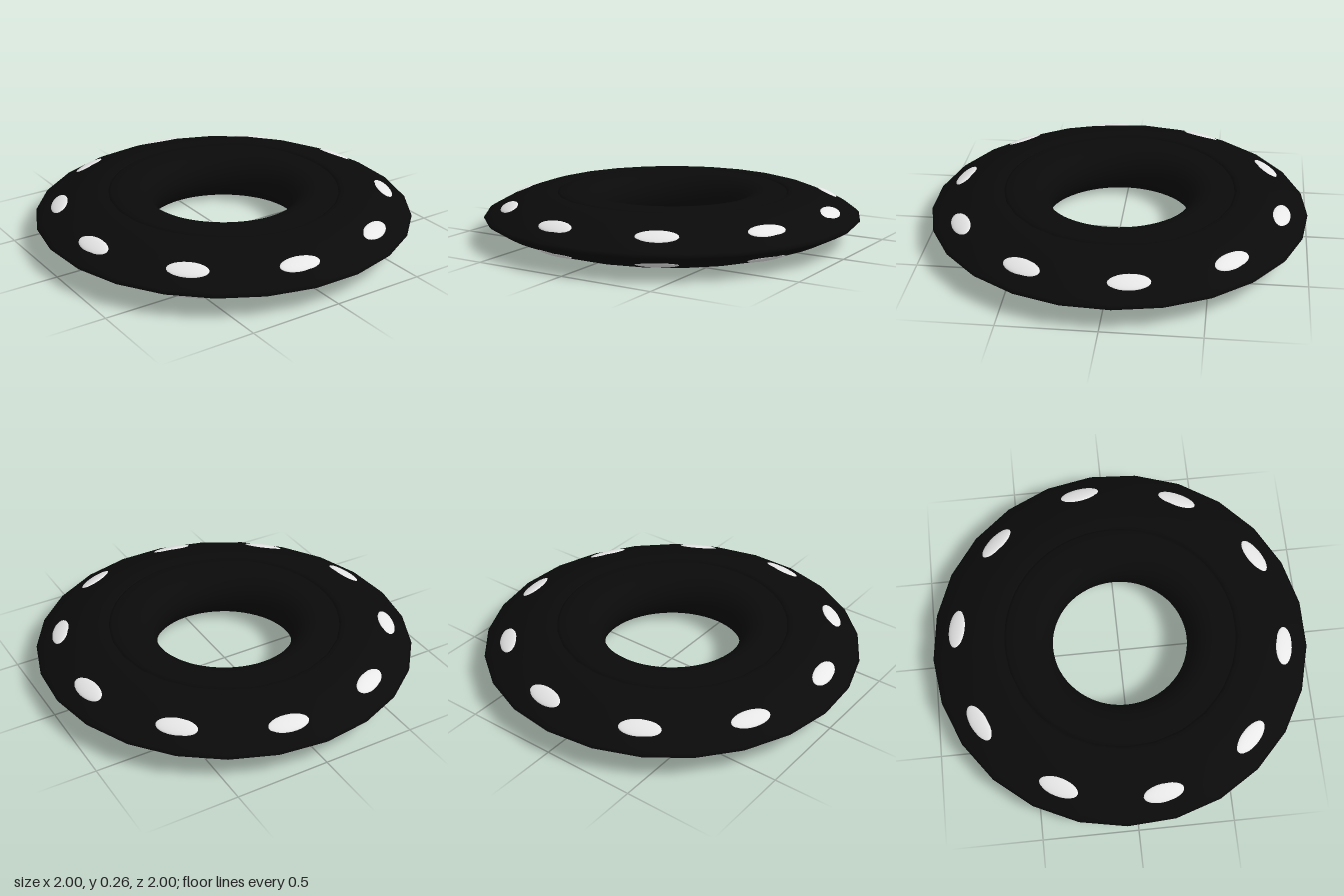
import * as THREE from 'three';

const MID = 0.13; // height of the symmetry plane

// Lathe a list of [radius, height] pairs, smooth shaded
function lathe(points, segments, material, name) {
  const geometry = new THREE.LatheGeometry(points.map(([r, y]) => new THREE.Vector2(r, y)), segments);
  const mesh = new THREE.Mesh(geometry, material);
  mesh.name = name;
  return mesh;
}

export function createModel() {
  const black = new THREE.MeshStandardMaterial({ color: 0x0a0a0a });
  black.name = 'black';
  const white = new THREE.MeshStandardMaterial({ color: 0xf4f4f4 });
  white.name = 'white';

  const model = new THREE.Group();
  model.name = 'ring';
  model.position.z = 0.004;

  // Outer tapering band: upper half from rim to seam, mirrored for the lower half
  const upper = [
    [0.99, 0.142], [0.97, 0.154], [0.93, 0.176], [0.87, 0.203], [0.8, 0.23],
    [0.74, 0.248], [0.68, 0.257], [0.63, 0.259], [0.615, 0.25], [0.608, 0.235],
  ];
  const lower = upper.map(([r, y]) => [r, 2 * MID - y]).reverse();
  const band = lathe([...lower, [1.002, MID], ...upper], 25, black, 'outerBand');
  band.rotation.y = Math.PI;
  model.add(band);

  // Inner ring: flat faces with a rounded wall around the hole
  const inner = [[0.614, 0.235], [0.61, 0.25], [0.595, 0.258], [0.55, 0.26]];
  const wall = [];
  for (let i = 0; i <= 16; i++) {
    const a = Math.PI / 2 + (i / 16) * Math.PI;
    wall.push([0.49 + 0.13 * Math.cos(a), MID + 0.13 * Math.sin(a)]);
  }
  const innerLower = inner.map(([r, y]) => [r, 2 * MID - y]).reverse();
  model.add(lathe([...inner, ...wall, ...innerLower], 64, black, 'innerRing'));

  // Ten oval spots on each face, lying on the slope of the band
  const spot = new THREE.SphereGeometry(1, 24, 16).scale(0.107, 0.012, 0.049);
  spot.rotateX(0.4);
  for (const side of [1, -1]) {
    const spots = new THREE.Group();
    spots.name = side > 0 ? 'upperSpots' : 'lowerSpots';
    for (let i = 0; i < 10; i++) {
      const pivot = new THREE.Group();
      pivot.rotation.y = THREE.MathUtils.degToRad(-9 + i * 36);
      const mesh = new THREE.Mesh(spot, white);
      mesh.name = 'spot';
      mesh.position.set(0, MID + side * 0.067, 0.871);
      if (side < 0) mesh.rotation.x = -0.8;
      pivot.add(mesh);
      spots.add(pivot);
    }
    model.add(spots);
  }

  return model;
}
